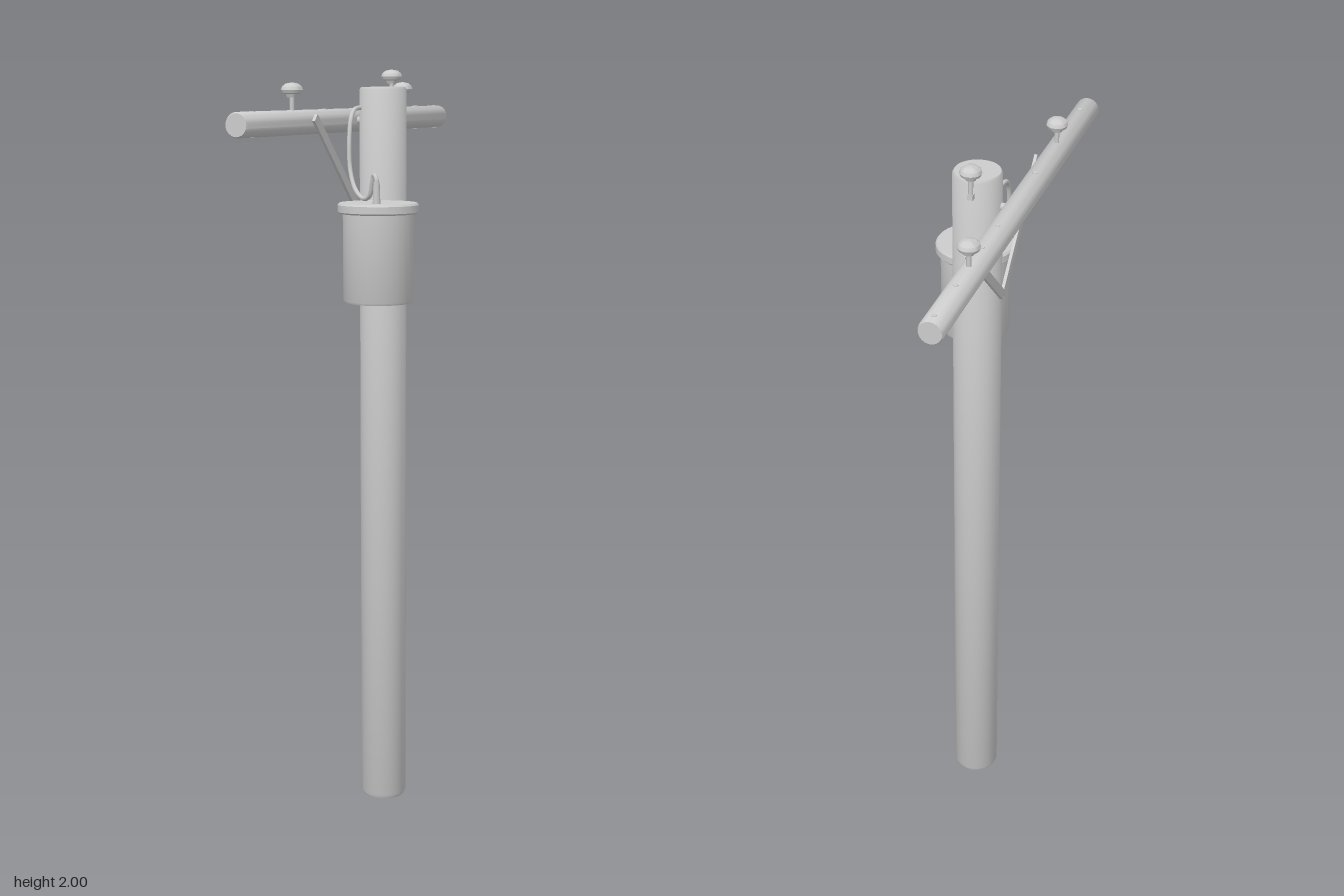
import * as THREE from 'three';
import { toCreasedNormals } from 'three/addons/utils/BufferGeometryUtils.js';

const grey = new THREE.MeshStandardMaterial({ color: 0xcccccc });

function add(parent, name, geometry, x = 0, y = 0, z = 0) {
  const mesh = new THREE.Mesh(geometry, grey);
  mesh.name = name;
  mesh.position.set(x, y, z);
  parent.add(mesh);
  return mesh;
}

// Turned solid from [radius, height] pairs listed bottom to top
function turned(profile, sides = 32) {
  const pts = profile.map(([r, y]) => new THREE.Vector2(r, y));
  return toCreasedNormals(new THREE.LatheGeometry(pts, sides), 0.6);
}

// Mushroom insulator on a pin; the origin is the foot of the pin
function insulator(name, pinLength) {
  const group = new THREE.Group();
  group.name = name;
  add(group, 'insulatorPin', new THREE.CylinderGeometry(0.006, 0.006, pinLength + 0.01, 10), 0, (pinLength + 0.01) / 2, 0);
  const cap = [[0, 0], [0.013, 0], [0.016, 0.008], [0.025, 0.011], [0.028, 0.018], [0.025, 0.027], [0.016, 0.034], [0, 0.037]];
  add(group, 'insulatorCap', turned(cap, 20), 0, pinLength, 0);
  return group;
}

export function createModel() {
  const model = new THREE.Group();
  model.name = 'utilityPole';
  const poleX = -0.018, armX = -0.12, armY = 1.868;

  // Pole with slightly eased ends
  add(model, 'pole', turned([[0, 0], [0.056, 0], [0.062, 0.012], [0.062, 1.948], [0.058, 1.955], [0, 1.955]]), poleX);

  // Round crossarm along z
  const arm = add(model, 'crossarm',
    turned([[0, -0.616], [0.028, -0.616], [0.031, -0.611], [0.031, 0.611], [0.028, 0.616], [0, 0.616]], 24), armX, armY, 0);
  arm.rotation.x = Math.PI / 2;

  // Bolts through the crossarm
  for (const z of [-0.59, -0.45, -0.265, -0.15, 0.14, 0.535])
    add(model, 'crossarmBolt', new THREE.CylinderGeometry(0.007, 0.007, 0.064, 8), armX, armY, z);
  const centreBolt = add(model, 'centreBolt', new THREE.CylinderGeometry(0.01, 0.01, 0.06, 8), -0.085, armY, 0);
  centreBolt.rotation.z = Math.PI / 2;

  // Insulators on the arm
  for (const z of [0.325, -0.358]) {
    const item = insulator('armInsulator', 0.042);
    item.position.set(armX, 1.888, z);
    model.add(item);
  }

  // Insulator on a bracket at the side of the pole top
  const top = insulator('poleTopInsulator', 0.053);
  top.position.set(-0.024, 1.91, -0.068);
  model.add(top);
  add(model, 'insulatorBracket', new THREE.BoxGeometry(0.014, 0.014, 0.02), -0.024, 1.917, -0.064);

  // Flat diagonal braces meeting on the pole
  for (const side of [1, -1]) {
    const brace = add(model, 'brace', new THREE.BoxGeometry(0.008, 0.024, 0.37), -0.085, 1.752, side * 0.135);
    brace.rotation.x = -side * Math.atan2(0.255, 0.265);
  }

  // Transformer tank with an overhanging lid
  const tank = new THREE.Group();
  tank.name = 'transformer';
  tank.position.set(0.045, 0, 0.17);
  model.add(tank);
  add(tank, 'tankBody', turned([[0, 1.41], [0.088, 1.41], [0.091, 1.416], [0.091, 1.645], [0, 1.645]]));
  add(tank, 'tankLid', turned([[0, 1.638], [0.1, 1.638], [0.104, 1.642], [0.104, 1.66], [0.1, 1.665], [0, 1.665]]));
  add(model, 'tankBracket', new THREE.BoxGeometry(0.062, 0.125, 0.06), -0.012, 1.542, 0.08);

  // Bushing on the lid
  add(model, 'bushing', new THREE.CylinderGeometry(0.008, 0.01, 0.06, 12), 0.059, 1.69, 0.211);

  // Cable from the bushing to the pole
  const path = new THREE.CatmullRomCurve3([
    [0.059, 1.7, 0.211], [0.058, 1.728, 0.21], [0.048, 1.737, 0.203], [0.04, 1.715, 0.196],
    [0.028, 1.683, 0.186], [0, 1.674, 0.165], [-0.035, 1.697, 0.139], [-0.057, 1.745, 0.121],
    [-0.063, 1.82, 0.113], [-0.065, 1.875, 0.098], [-0.066, 1.897, 0.075], [-0.064, 1.902, 0.04],
  ].map((p) => new THREE.Vector3(...p)));
  add(model, 'cable', new THREE.TubeGeometry(path, 80, 0.006, 8));

  return model;
}
